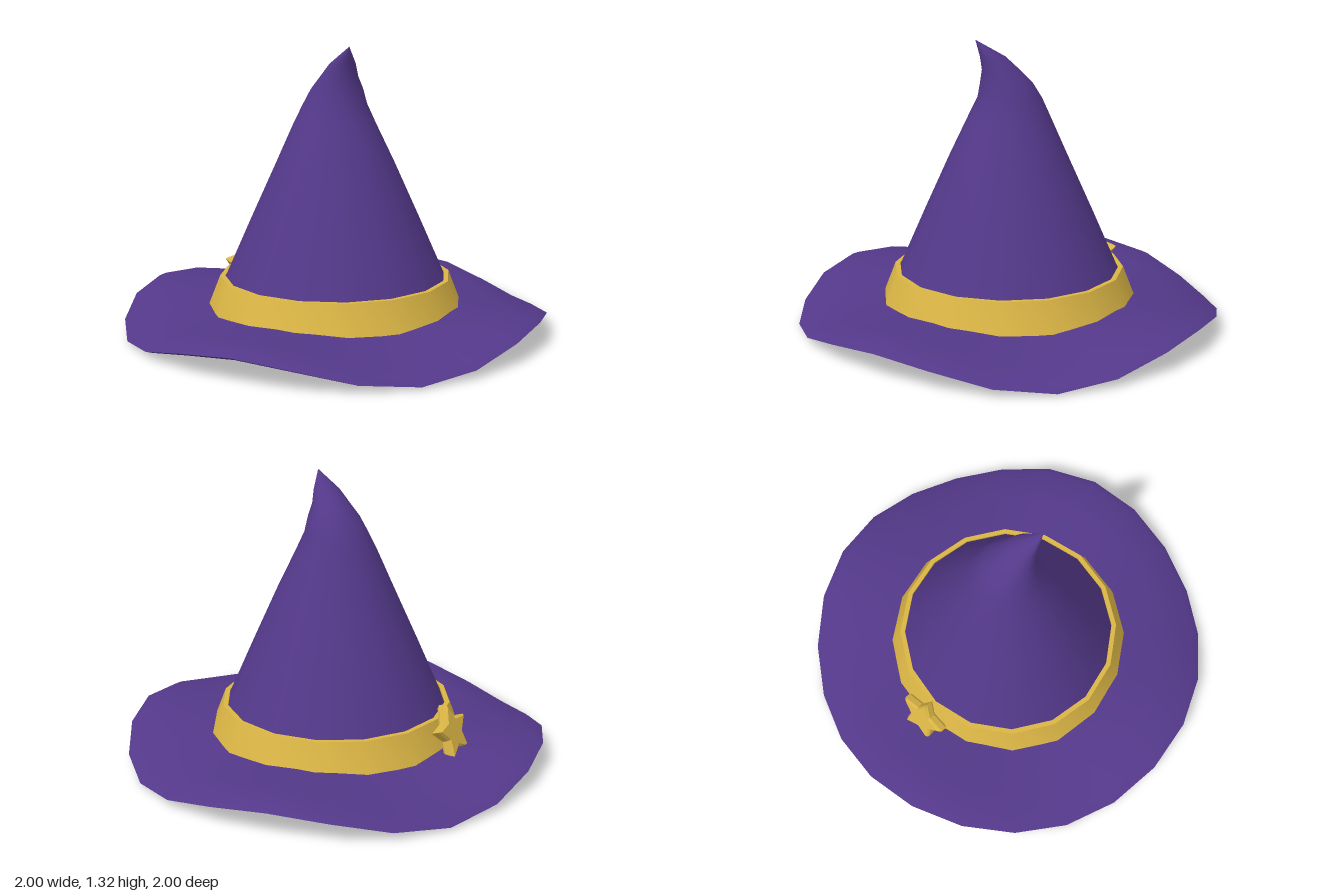
import * as THREE from 'three';
import { toCreasedNormals } from 'three/addons/utils/BufferGeometryUtils.js';

const purple = new THREE.MeshStandardMaterial({ color: 0x533889 });
purple.name = 'purple felt';
const gold = new THREE.MeshStandardMaterial({ color: 0xdab545 });
gold.name = 'gold trim';

const lathe = (profile, sides) =>
  new THREE.LatheGeometry(profile.map(([r, y]) => new THREE.Vector2(r, y)), sides);

function add(group, name, geometry, material) {
  const mesh = new THREE.Mesh(geometry, material);
  mesh.name = name;
  group.add(mesh);
  return mesh;
}

// Wide brim: a closed ring whose outer part ripples four times around
function brimGeometry() {
  const geo = lathe([
    [0.45, 0.035], [0.6, 0.038], [0.8, 0.048], [0.965, 0.06],
    [1, 0.074], [0.962, 0.095], [0.8, 0.11], [0.6, 0.12], [0.45, 0.12], [0.45, 0.035],
  ], 24);
  const p = geo.attributes.position;
  for (let i = 0; i < p.count; i++) {
    const x = p.getX(i), z = p.getZ(i);
    const reach = Math.max(0, (Math.hypot(x, z) - 0.5) / 0.5);
    const wave = Math.cos(4 * Math.atan2(z, x) + Math.PI / 3);
    p.setY(i, p.getY(i) + 0.055 * reach * wave);
  }
  return toCreasedNormals(geo, 0.9);
}

// Pointed crown: rings of [radius, height, centre x, centre z], bent at the tip
function crownGeometry() {
  const rings = [
    [0.583, 0.11, 0, 0], [0.52, 0.25, 0, 0], [0.4, 0.52, 0, 0], [0.277, 0.79, 0, 0],
    [0.193, 0.97, 0, -0.004], [0.15, 1.06, 0.003, -0.004], [0.122, 1.13, -0.002, 0.012],
    [0.088, 1.19, -0.014, 0.035], [0.06, 1.25, -0.03, 0.069], [0, 1.33, -0.07, 0.14],
  ];
  const geo = lathe(rings, 16);
  const p = geo.attributes.position;
  for (let i = 0; i < p.count; i++) {
    const [, , cx, cz] = rings[i % rings.length];
    p.setX(i, p.getX(i) + cx);
    p.setZ(i, p.getZ(i) + cz);
  }
  return toCreasedNormals(geo, 1.2);
}

// Five-pointed star with bevelled edges
function starGeometry() {
  const shape = new THREE.Shape();
  for (let i = 0; i < 10; i++) {
    const r = i % 2 ? 0.07 : 0.133;
    const a = Math.PI / 2 + i * Math.PI / 5;
    shape[i ? 'lineTo' : 'moveTo'](r * Math.cos(a), r * Math.sin(a));
  }
  shape.closePath();
  return new THREE.ExtrudeGeometry(shape, {
    depth: 0.03, bevelEnabled: true, bevelSegments: 1,
    bevelThickness: 0.012, bevelSize: 0.01, bevelOffset: -0.01,
  });
}

export function createModel() {
  const hat = new THREE.Group();
  hat.name = 'pointedHat';

  add(hat, 'brim', brimGeometry(), purple);
  add(hat, 'crown', crownGeometry(), purple);

  // Lining closing the crown inside the head opening
  const lining = add(hat, 'lining', new THREE.CircleGeometry(0.46, 24), purple);
  lining.rotation.x = Math.PI / 2;
  lining.position.y = 0.115;

  // Sloping hat band with a narrow flat top
  const band = lathe([
    [0.56, 0.105], [0.605, 0.105], [0.548, 0.25], [0.525, 0.25], [0.525, 0.2], [0.56, 0.105],
  ], 16);
  add(hat, 'band', toCreasedNormals(band, 0.6), gold);

  // Star lying against the band at the back
  const star = add(hat, 'star', starGeometry(), gold);
  star.position.set(0, 0.195, -0.6);
  star.rotation.set(0.37, Math.PI, 0);

  return hat;
}
